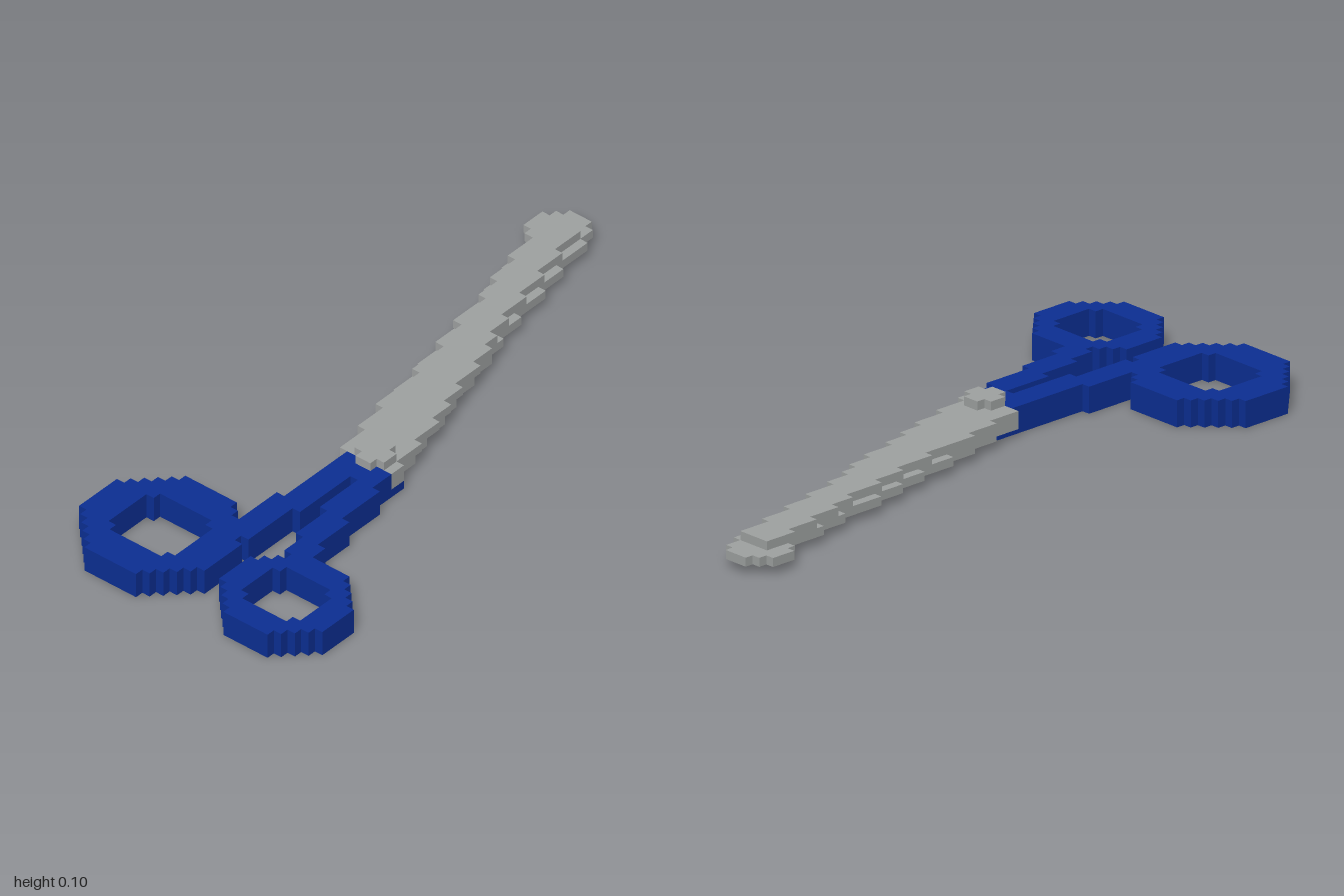
import * as THREE from 'three';

const V = 2 / 77;               // size of one cell
const X0 = -1, Z0 = -16.5 * V;  // corner of the cell grid

// Extrude an outline given in grid cells, from layer y0 to layer y1
function slab(name, outline, y0, y1, material, hole) {
  const toVec = ([i, k]) => new THREE.Vector2(X0 + i * V, Z0 + k * V);
  const shape = new THREE.Shape(outline.map(toVec));
  if (hole) shape.holes.push(new THREE.Path(hole.map(toVec)));
  const geo = new THREE.ExtrudeGeometry(shape, { depth: (y1 - y0) * V, bevelEnabled: false });
  geo.rotateX(Math.PI / 2).translate(0, y1 * V, 0);
  const mesh = new THREE.Mesh(geo, material);
  mesh.name = name;
  return mesh;
}

// Rectangle whose corners are cut into n single-cell steps
function steppedOval(i0, i1, k0, k1, n) {
  const w = i1 - i0, h = k1 - k0, quarter = [];
  for (let s = 0; s < n; s++) quarter.push([s, n - s], [s + 1, n - s]);
  quarter.push([n, 0]);
  const flip = (p, fx, fz) => p.map(([a, b]) => [i0 + (fx ? w - a : a), k0 + (fz ? h - b : b)]);
  const back = [...quarter].reverse();
  return [...flip(quarter, 0, 0), ...flip(back, 1, 0), ...flip(quarter, 1, 1), ...flip(back, 0, 1)];
}

// Staircase edge from pairs [row, end column]
function stair(start, steps) {
  const pts = [];
  let i = start;
  for (const [k, end] of steps) {
    pts.push([i, k], [end, k]);
    i = end;
  }
  return pts;
}

const band = (start, backEdge, frontEdge) =>
  [...stair(start, backEdge), ...stair(start, frontEdge).reverse()];

export function createModel() {
  const blue = new THREE.MeshStandardMaterial({ color: 0x0c2f94 });
  blue.name = 'blue plastic';
  const steel = new THREE.MeshStandardMaterial({ color: 0xa0a3a2 });
  steel.name = 'grey steel';

  const model = new THREE.Group();
  model.name = 'scissors';

  // Finger loops
  const handles = new THREE.Group();
  handles.name = 'handles';
  handles.add(
    slab('largeLoop', steppedOval(0, 16, 0, 17, 5), 0, 3, blue, steppedOval(4, 12, 4, 13, 1)),
    slab('smallLoop', steppedOval(1, 14, 19, 33, 4), 0, 3, blue, steppedOval(4, 11, 22, 30, 1)),
  );

  // Arms running to the pivot, and the plate below the blades
  handles.add(
    slab('backArm', band(12, [[14, 20], [15, 30]], [[17, 19], [18, 30]]), 0, 3, blue),
    slab('frontArm', band(13,
      [[21, 16], [20, 21], [19, 27], [18, 30]],
      [[24, 16], [23, 21], [22, 27], [21, 30]]), 0, 3, blue),
    slab('pivotPlate', band(30, [[15, 32]], [[21, 32]]), 0, 1, blue),
  );

  // Two overlapping blades with stepped edges
  const blades = new THREE.Group();
  blades.name = 'blades';
  blades.add(
    slab('lowerBlade', band(30,
      [[14, 34], [13, 38], [12, 42], [11, 47], [10, 51], [9, 55], [8, 61], [7, 65], [6, 70],
        [5, 71], [4, 72], [3, 75], [4, 76], [5, 77]],
      [[21, 32], [20, 35], [19, 38], [18, 42], [17, 45], [16, 49], [15, 53], [14, 56], [13, 60],
        [12, 65], [11, 69], [10, 74], [9, 76], [8, 77]]), 1, 2, steel),
    slab('upperBlade', band(30,
      [[14, 34], [13, 38], [12, 45], [11, 50], [10, 54], [9, 59], [8, 62], [7, 66], [6, 70], [5, 74]],
      [[21, 32], [20, 36], [19, 40], [18, 43], [17, 46], [16, 50], [15, 53], [14, 55], [13, 58],
        [12, 62], [11, 66], [10, 70], [9, 74]]), 2, 3, steel),
  );

  // Pivot screw head
  const pivot = slab('pivotScrew', steppedOval(29, 33, 16, 20, 1), 3, 4, steel);

  model.add(handles, blades, pivot);
  return model;
}
